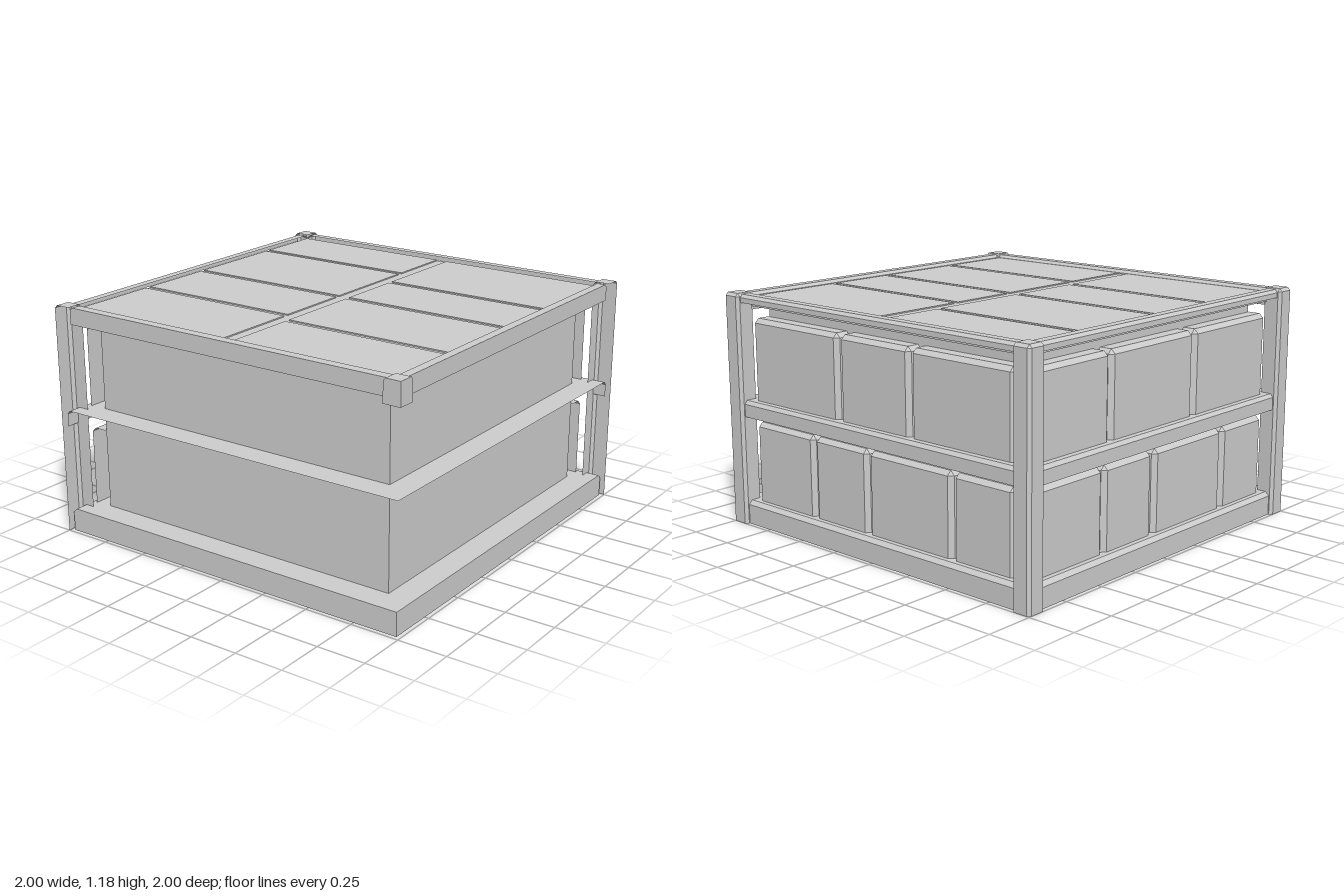
import * as THREE from 'three';

export function createModel() {
  const model = new THREE.Group();
  const grey = new THREE.MeshStandardMaterial({ color: 0xcccccc, side: THREE.DoubleSide });
  grey.name = 'plain grey';

  function add(parent, name, geometry) {
    const mesh = new THREE.Mesh(geometry, grey);
    mesh.name = name;
    parent.add(mesh);
  }
  function group(name) {
    const g = new THREE.Group();
    g.name = name;
    model.add(g);
    return g;
  }

  // box with chamfered edges where its top, +x and -z faces meet;
  // open lists the sides left out: 1 = -x, 3 = bottom, 4 = +z
  const SHELL = [1, 3, 4];
  function block(parent, name, x0, x1, y0, y1, z0, z1, c = 0, open = []) {
    const box = new THREE.BoxGeometry(1, 1, 1, 2, 2, 2);
    const all = Array.from(box.index.array);
    box.setIndex(box.groups.filter((_, i) => !open.includes(i))
      .flatMap(f => all.slice(f.start, f.start + f.count)));
    box.clearGroups();
    const g = box.toNonIndexed();
    const p = g.attributes.position;
    const inset = Math.max(c, 0.001);
    for (let i = 0; i < p.count; i++) {
      const ux = p.getX(i), uy = p.getY(i), uz = p.getZ(i);
      const hits = (ux > 0.4) + (uy > 0.4) + (uz < -0.4);
      const pull = hits === 2 ? c / 2 : hits === 3 ? c * 2 / 3 : 0;
      p.setXYZ(i,
        ux > 0.4 ? x1 - pull : ux < -0.4 ? x0 : x1 - inset,
        uy > 0.4 ? y1 - pull : uy < -0.4 ? y0 : y1 - inset,
        uz < -0.4 ? z0 + pull : uz > 0.4 ? z1 : z0 + inset);
    }
    g.computeVertexNormals();
    add(parent, name, g);
  }

  // flat four-cornered sheet
  function sheet(parent, name, a, b, c, d) {
    const g = new THREE.BufferGeometry();
    g.setAttribute('position', new THREE.Float32BufferAttribute([a, b, c, a, c, d].flat(), 3));
    g.computeVertexNormals();
    add(parent, name, g);
  }

  // hollow base and inner walls
  block(model, 'base', -0.98, 0.98, 0, 0.12, -0.98, 0.98, 0.02, [3]);
  block(model, 'innerWalls', -0.85, 0.85, 0.12, 1.115, -0.85, 0.85, 0, [3]);

  // middle floor: thin sheet with a bent skirt on the back and the +x side
  const floor = group('middleFloor');
  sheet(floor, 'floorSheet', [-0.98, 0.643, 0.98], [0.965, 0.643, 0.98], [0.965, 0.643, -0.965], [-0.98, 0.643, -0.965]);
  const skirt = [[0.965, 0.643], [0.98, 0.625], [0.98, 0.56]];
  for (let i = 0; i < 2; i++) {
    const [o, y] = skirt[i], [q, v] = skirt[i + 1];
    sheet(floor, 'skirtRight', [o, y, 0.98], [q, v, 0.98], [q, v, -q], [o, y, -o]);
    sheet(floor, 'skirtBack', [o, y, -o], [q, v, -q], [-0.98, v, -q], [-0.98, y, -o]);
  }

  // raised wall panels, side row along z and back row along x
  const panels = group('wallPanels');
  const rows = [
    { y0: 0.12, y1: 0.53,
      side: [[0.45, 0.86], [0.07, 0.42], [-0.48, 0.04], [-0.855, -0.51]],
      back: [[0.44, 0.86], [0.07, 0.41], [-0.5, 0.03], [-0.86, -0.53]] },
    { y0: 0.643, y1: 1.06,
      side: [[0.26, 0.86], [-0.22, 0.225], [-0.855, -0.25]],
      back: [[0.40, 0.86], [-0.24, 0.37], [-0.86, -0.27]] },
  ];
  for (const r of rows) {
    for (const [a, b] of r.side) block(panels, 'sidePanel', 0.85, 0.935, r.y0, r.y1, a, b, 0.022, SHELL);
    for (const [a, b] of r.back) block(panels, 'backPanel', a, b, r.y0, r.y1, -0.935, -0.85, 0.022, SHELL);
  }

  // roof slab with thin tiles, almost level with the rails
  const roof = group('roof');
  block(roof, 'roofSlab', -0.93, 0.915, 1.115, 1.158, -0.92, 0.93);
  const tiles = [
    { z: [-0.915, -0.03], xs: [[-0.915, -0.45], [-0.42, -0.03], [0, 0.53], [0.56, 0.91]] },
    { z: [0.03, 0.91], xs: [[-0.915, -0.52], [-0.49, -0.03], [0, 0.35], [0.38, 0.91]] },
  ];
  for (const t of tiles)
    for (const [a, b] of t.xs) block(roof, 'roofTile', a, b, 1.158, 1.164, t.z[0], t.z[1], 0, [3]);

  // roof rails: tall on two plain sides, slim open sections on the panelled sides
  const rails = group('roofRails');
  block(rails, 'frontRail', -0.92, 0.92, 1.095, 1.18, 0.92, 0.98, 0.015);
  block(rails, 'leftPlainRail', -0.98, -0.915, 1.095, 1.18, -0.92, 0.92, 0.015);
  block(rails, 'sideRail', 0.92, 0.98, 1.14, 1.18, -0.92, 0.92, 0.015, SHELL);
  block(rails, 'backRail', -0.92, 0.92, 1.14, 1.18, -0.98, -0.92, 0.015, SHELL);

  // corner posts: open angle sections with a flat top
  const posts = group('cornerPosts');
  for (const [x, z] of [[0.91, 0.91], [0.91, -1], [-1, -1]])
    block(posts, 'cornerPost', x, x + 0.09, 0, 1.185, z, z + 0.09, 0.015, SHELL);
  // corner cap above the open corner
  block(posts, 'cornerCap', -1, -0.91, 1.07, 1.185, 0.91, 1, 0.012);

  return model;
}
